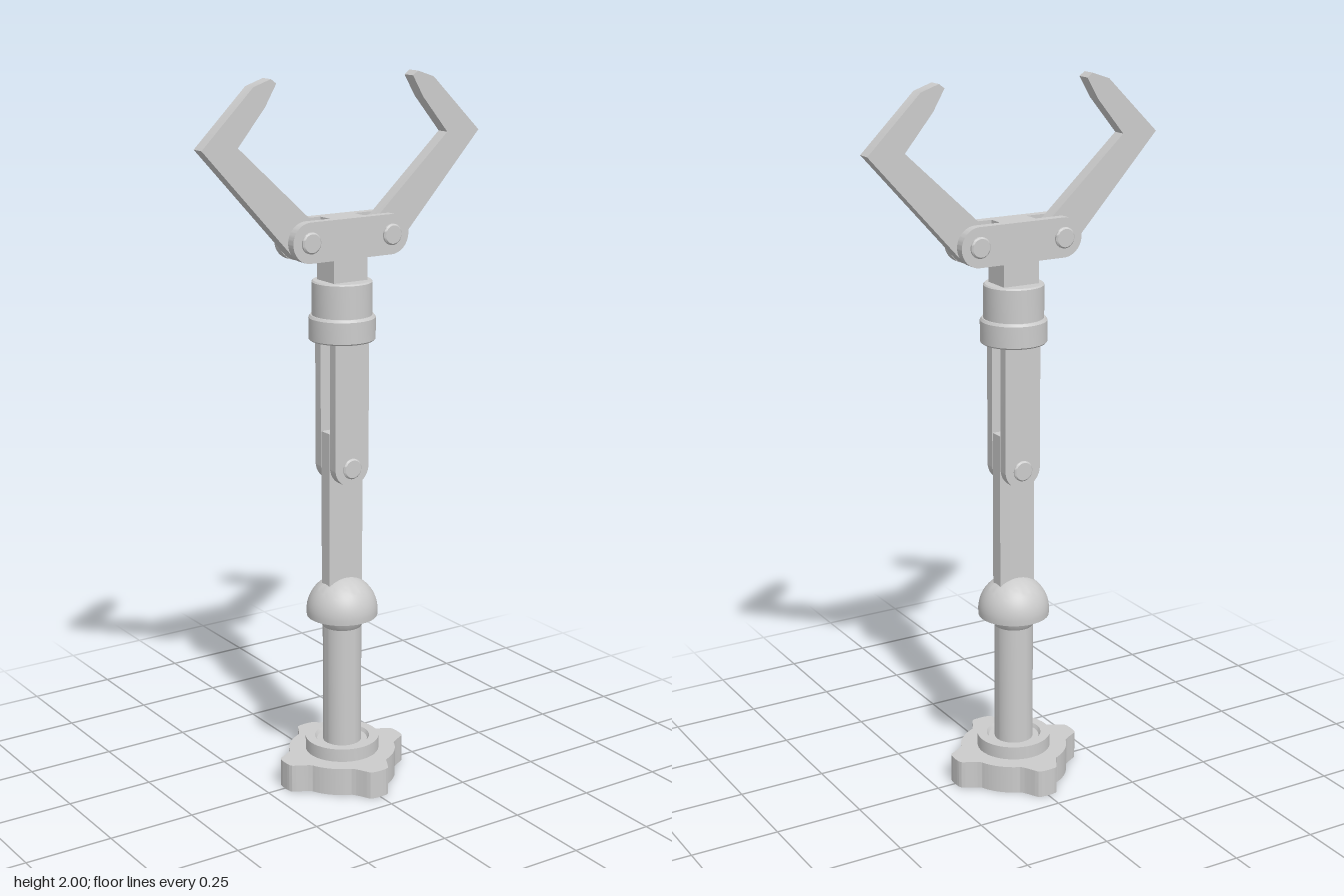
import * as THREE from 'three';
import { toCreasedNormals } from 'three/addons/utils/BufferGeometryUtils.js';

const material = new THREE.MeshStandardMaterial({ color: 0xcccccc });

export function createModel() {
  const model = new THREE.Group();

  const add = (name, geometry, x = 0, y = 0, z = 0) => {
    const mesh = new THREE.Mesh(geometry, material);
    mesh.name = name;
    mesh.position.set(x, y, z);
    model.add(mesh);
    return mesh;
  };
  const box = (name, w, h, d, x, y, z) => add(name, new THREE.BoxGeometry(w, h, d), x, y, z);
  // Flat plate in the XY plane, centred on z = 0
  const plate = (shape, depth) => {
    const g = new THREE.ExtrudeGeometry(shape, { depth, bevelEnabled: false, curveSegments: 20 });
    g.translate(0, 0, -depth / 2);
    return toCreasedNormals(g, 0.6);
  };
  // Solid of revolution from [radius, height] pairs, bottom to top
  const turned = (name, profile) => add(name, toCreasedNormals(
    new THREE.LatheGeometry(profile.map(([r, y]) => new THREE.Vector2(r, y)), 48), 0.5));
  // Pin along z with slightly rounded heads
  const pin = (name, x, y, half) => {
    const r = 0.029;
    const pts = [[0, -half], [r - 0.004, -half], [r, -half + 0.004],
      [r, half - 0.004], [r - 0.004, half], [0, half]];
    const mesh = turned(name, pts);
    mesh.rotation.x = Math.PI / 2;
    mesh.position.set(x, y, 0);
  };

  // Four-lobed foot
  const foot = new THREE.Shape();
  const R = 0.153, half = 0.4;
  for (let i = 0; i < 4; i++) {
    const a = i * Math.PI / 2, c = Math.cos(a), s = Math.sin(a);
    const at = (u, v) => [u * c - v * s, u * s + v * c];
    const start = at(R * Math.cos(half), -R * Math.sin(half));
    if (i === 0) foot.moveTo(...start);
    foot.quadraticCurveTo(...at(0.148, -0.052), ...at(0.186, -0.033));
    foot.quadraticCurveTo(...at(0.193, -0.029), ...at(0.194, -0.02));
    foot.quadraticCurveTo(...at(0.197, 0), ...at(0.194, 0.02));
    foot.quadraticCurveTo(...at(0.193, 0.029), ...at(0.186, 0.033));
    foot.quadraticCurveTo(...at(0.148, 0.052), ...at(R * Math.cos(half), R * Math.sin(half)));
    foot.absarc(0, 0, R, a + half, a + Math.PI / 2 - half, false);
  }
  const footMesh = add('foot', plate(foot, 0.08), 0, 0.04, 0);
  footMesh.rotation.x = -Math.PI / 2;

  // Foot collar, post and ball joint
  turned('footCollar', [[0, 0.075], [0.105, 0.075], [0.105, 0.118], [0.078, 0.118], [0.072, 0.108], [0, 0.108]]);
  turned('post', [[0, 0.1], [0.055, 0.1], [0.055, 0.48], [0, 0.48]]);
  turned('ballSocket', [[0, 0.455], [0.053, 0.455], [0.064, 0.47], [0.072, 0.492], [0, 0.492]]);
  const dome = [[0, 0.49], [0.1, 0.49]];
  for (let i = 0; i <= 16; i++) {
    const a = i / 16 * Math.PI / 2;
    dome.push([0.101 * Math.cos(a), 0.504 + 0.101 * Math.sin(a)]);
  }
  turned('ballDome', dome);

  // Lower bar, held between two fork arms
  box('lowerBar', 0.11, 0.47, 0.04, 0, 0.795, 0);
  const arm = new THREE.Shape();
  arm.moveTo(0.055, 1.3);
  arm.lineTo(-0.055, 1.3);
  arm.lineTo(-0.055, 0.935);
  arm.absarc(0, 0.935, 0.055, Math.PI, Math.PI * 2, false);
  for (const s of [-1, 1]) add('forkArm', plate(arm, 0.027), 0, 0, s * 0.0365);
  pin('forkPin', 0, 0.93, 0.057);

  // Wrist collar and neck
  turned('wristCollar', [[0, 1.287], [0.088, 1.287], [0.092, 1.291], [0.092, 1.35], [0.087, 1.357], [0, 1.357]]);
  turned('wrist', [[0, 1.35], [0.083, 1.35], [0.083, 1.448], [0.079, 1.452], [0, 1.452]]);
  box('neck', 0.108, 0.11, 0.084, 0, 1.495, 0);

  // Claw head: two cheek plates around a solid centre, open slots at both ends
  const cheek = new THREE.Shape();
  cheek.absarc(0.13, 1.57, 0.055, -Math.PI / 2, Math.PI / 2, false);
  cheek.absarc(-0.13, 1.57, 0.055, Math.PI / 2, Math.PI * 1.5, false);
  for (const s of [-1, 1]) add('headCheek', plate(cheek, 0.026), 0, 0, s * 0.035);
  box('headCore', 0.11, 0.11, 0.046, 0, 1.57, 0);

  // Hooked fingers, mirrored left and right
  for (const s of [-1, 1]) {
    const finger = new THREE.Shape();
    finger.moveTo(s * 0.44, 1.83);
    for (const [x, y] of [[0.285, 1.982], [0.232, 2], [0.216, 1.988], [0.25, 1.93], [0.333, 1.83]])
      finger.lineTo(s * x, y);
    // Rounded root around the pivot
    for (let i = 0; i <= 14; i++) {
      const a = Math.PI * (0.74 + i / 14);
      finger.lineTo(s * (0.13 + 0.054 * Math.cos(a)), 1.57 + 0.054 * Math.sin(a));
    }
    finger.closePath();
    add(s > 0 ? 'leftFinger' : 'rightFinger', plate(finger, 0.04));
    pin(s > 0 ? 'leftFingerPin' : 'rightFingerPin', s * 0.13, 1.57, 0.057);
  }

  return model;
}
